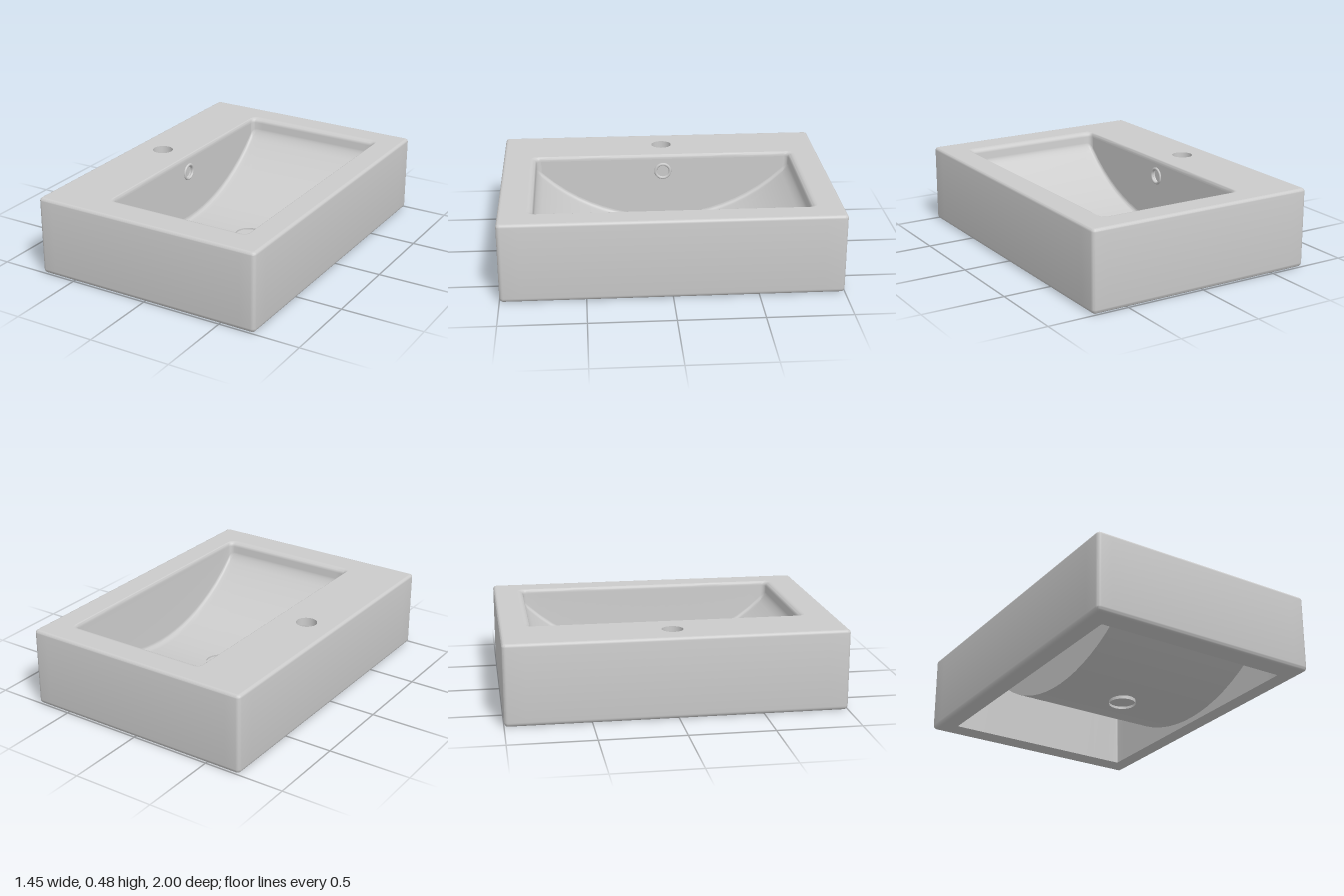
import * as THREE from 'three';
import { toCreasedNormals } from 'three/addons/utils/BufferGeometryUtils.js';

const grey = new THREE.MeshStandardMaterial({ color: 0xcccccc, side: THREE.DoubleSide });
const TOP = 0.483, SLAB = 0.435;
const TAP = { x: -0.535, z: -0.012, r: 0.063 };
const DRAIN = { x: 0.096, z: -0.012, r: 0.082 };
const OVERFLOW = { y: 0.373, z: -0.01, r: 0.044 };
const V = (x, y, z) => new THREE.Vector3(x, y, z);

// Rounded rectangle in the ground plane, grown by gx and gz; y is a number or a function of z
function rectLoop({ x0, x1, z0, z1, r }, gx, gz, y) {
  const pts = [], R = Math.max(r + Math.min(gx, gz), 0.002), arcN = 5, sideN = 20;
  const cx = [x1 + gx - R, x0 - gx + R], cz = [z1 + gz - R, z0 - gz + R];
  const centres = [[cx[0], cz[0]], [cx[1], cz[0]], [cx[1], cz[1]], [cx[0], cz[1]]];
  const at = (c, a) => V(centres[c][0] + R * Math.cos(a), 0, centres[c][1] + R * Math.sin(a));
  for (let c = 0; c < 4; c++) {
    for (let i = 0; i <= arcN; i++) pts.push(at(c, (c + i / arcN) * Math.PI / 2));
    const a = pts[pts.length - 1], b = at((c + 1) % 4, (c + 1) * Math.PI / 2);
    for (let i = 1; i < sideN; i++) pts.push(a.clone().lerp(b, i / sideN));
  }
  pts.forEach(p => { p.y = typeof y === 'function' ? y(p.z) : y; });
  return pts;
}

// Skin over a list of closed loops; skip(a, b, ring) leaves openings
function loft(loops, skip = () => false) {
  const n = loops[0].length, index = [];
  for (let j = 0; j < loops.length - 1; j++) {
    for (let i = 0; i < n; i++) {
      const k = (i + 1) % n, a = j * n + i, b = j * n + k;
      if (skip(loops[j][i], loops[j][k], j)) continue;
      index.push(a, a + n, b, b, a + n, b + n);
    }
  }
  const geo = new THREE.BufferGeometry().setFromPoints(loops.flat());
  geo.setIndex(index);
  return toCreasedNormals(geo, 0.6);
}

// Flat panel from 2D points with holes
function panel(points, holes) {
  const shape = new THREE.Shape(points);
  shape.holes.push(...holes);
  return new THREE.ShapeGeometry(shape, 32);
}
const circle = (x, y, r) => new THREE.Path().absarc(x, y, r, 0, Math.PI * 2, true);

// Rings between a rectangular loop and the drain circle, following height(z)
function drainRings(outer, height, count) {
  const rings = [];
  for (let k = 1; k <= count; k++) {
    rings.push(outer.map(p => {
      const a = Math.atan2(p.z - DRAIN.z, p.x - DRAIN.x);
      const q = V(DRAIN.x + DRAIN.r * Math.cos(a), 0, DRAIN.z + DRAIN.r * Math.sin(a));
      q.lerp(p, 1 - k / count);
      q.y = height(q.z);
      return q;
    }));
  }
  return rings;
}

// Upright panel with the overflow hole, filling the opening left at x between two loops
function overflowWall(x, lower, upper, dir) {
  const onWall = l => l.filter(p => Math.abs(p.x - x) < 1e-5);
  const pts = [...onWall(lower), ...onWall(upper).reverse()].map(p => new THREE.Vector2(-dir * p.z, p.y));
  const geo = panel(pts, [circle(-dir * OVERFLOW.z, OVERFLOW.y, OVERFLOW.r)]);
  return geo.rotateY(dir * Math.PI / 2).translate(x, 0, 0);
}

const bowlArc = (bottom, R) => z => bottom + R - Math.sqrt(R * R - (z + 0.01) ** 2);

export function createModel() {
  const group = new THREE.Group();
  const add = (name, geo) => {
    const mesh = new THREE.Mesh(geo, grey);
    mesh.name = name;
    group.add(mesh);
    return mesh;
  };
  const quarter = (n, f) => Array.from({ length: n + 1 }, (_, i) => {
    const a = i / n * Math.PI / 2;
    return f(1 - Math.sin(a), 1 - Math.cos(a));
  });

  // Outer body: inner skirt, underside rim, outer sides with rounded edges
  const outer = { x0: -0.723, x1: 0.723, z0: -1, z1: 1, r: 0.024 };
  const inner = { x0: -0.61, x1: 0.61, z0: -0.86, z1: 0.86, r: 0.01 };
  const body = [
    rectLoop(inner, 0, 0, SLAB), rectLoop(inner, 0, 0, 0),
    ...quarter(5, (s, c) => rectLoop(outer, -0.023 * s, -0.023 * s, 0.026 * c)),
    ...quarter(5, (s, c) => rectLoop(outer, -0.018 * c, -0.018 * c, TOP - 0.018 * s)),
  ];
  add('outerBody', loft(body));

  // Bowl: lip that is softer at the two ends, upright walls, filleted floor curved along z
  const rim = { x0: -0.34, x1: 0.56, z0: -0.815, z1: 0.795, r: 0.03 };
  const floor = bowlArc(0.045, 1.116), drop = 0.028;
  const lip = quarter(5, (s, c) => rectLoop(rim, 0.012 * s, 0.035 * s, TOP - drop * c));
  const fillet = quarter(5, (s, c) => rectLoop(rim, -0.02 * c, -0.04 * c,
    z => Math.min(floor(z) + 0.025 * s, TOP - drop - 0.001)));
  const bowl = [...lip, ...fillet, ...drainRings(fillet[5], floor, 14)];
  const onX = (x, ring) => (a, b, j) => j === ring && Math.abs(a.x - x) < 1e-5 && Math.abs(b.x - x) < 1e-5;
  add('bowl', loft(bowl, onX(rim.x0, lip.length - 1)));
  add('bowlOverflowWall', overflowWall(rim.x0, fillet[0], lip[5], 1));

  // Underside of the bowl
  const under = { x0: -0.36, x1: 0.612, z0: -0.862, z1: 0.862, r: 0.012 };
  const belly = bowlArc(0.033, 1.126);
  const bellyHeight = z => Math.min(belly(z), SLAB - 0.001);
  const bellyEdge = rectLoop(under, 0, 0, bellyHeight), bellyTop = rectLoop(under, 0, 0, SLAB);
  const bellyLoops = [...drainRings(bellyEdge, bellyHeight, 14).reverse(), bellyEdge, bellyTop];
  add('bowlUnderside', loft(bellyLoops, onX(under.x0, bellyLoops.length - 2)));
  add('undersideOverflowWall', overflowWall(under.x0, bellyEdge, bellyTop, -1));

  // Top deck with bowl opening and tap hole
  const flat = l => l.map(p => new THREE.Vector2(p.x, -p.z));
  add('topDeck', panel(flat(body[body.length - 1]),
    [new THREE.Path(flat(lip[0])), circle(TAP.x, -TAP.z, TAP.r)]).rotateX(-Math.PI / 2).translate(0, TOP, 0));

  // Underside of the tap ledge
  const ledge = [[-0.61, -0.86], [under.x0, -0.86], [under.x0, 0.86], [-0.61, 0.86]].map(p => new THREE.Vector2(...p));
  add('tapLedgeUnderside', panel(ledge, [circle(TAP.x, TAP.z, TAP.r)]).rotateX(Math.PI / 2).translate(0, SLAB, 0));

  // Bores through the ceramic
  const bore = (r, h) => new THREE.CylinderGeometry(r, r, h, 40, 1, true);
  add('tapHole', bore(TAP.r, TOP - SLAB)).position.set(TAP.x, (TOP + SLAB) / 2, TAP.z);
  add('drainCollar', bore(DRAIN.r, 0.034)).position.set(DRAIN.x, 0.031, DRAIN.z);
  add('overflowBore', bore(OVERFLOW.r, 0.02).rotateZ(Math.PI / 2)).position.set(-0.35, OVERFLOW.y, OVERFLOW.z);

  // Drain plug and overflow ring
  add('drainPlug', new THREE.CylinderGeometry(DRAIN.r, DRAIN.r, 0.008, 40)).position.set(DRAIN.x, 0.034, DRAIN.z);
  add('overflowRing', new THREE.TorusGeometry(0.046, 0.009, 10, 40).rotateY(Math.PI / 2))
    .position.set(rim.x0, OVERFLOW.y, OVERFLOW.z);

  return group;
}
